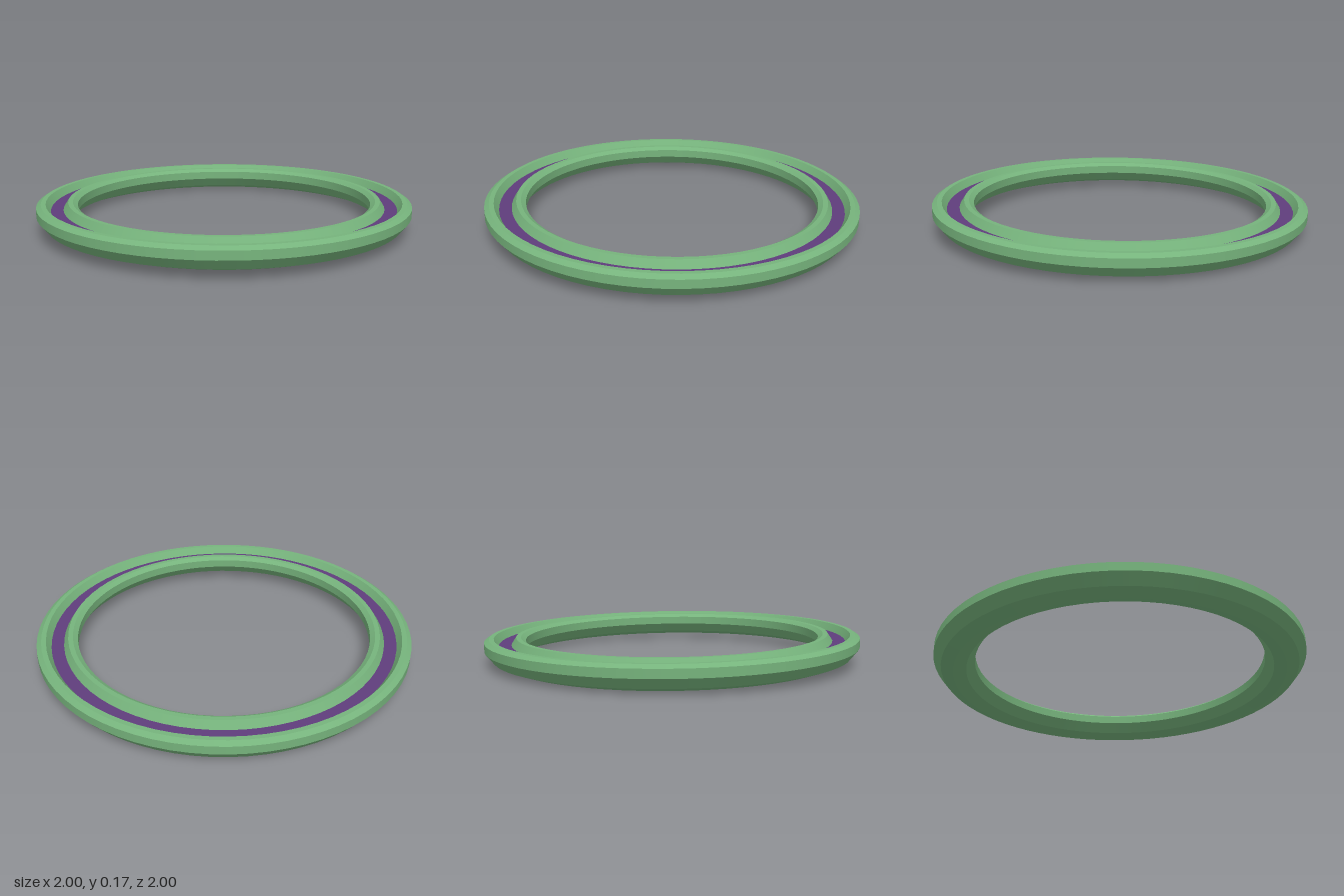
import * as THREE from 'three';
import { mergeGeometries } from 'three/addons/utils/BufferGeometryUtils.js';

const SEGMENTS = 72;

// One lathe per profile edge: smooth around the ring, crisp between bands.
function bandedLathe(profile) {
  const bands = [];
  for (let i = 0; i < profile.length - 1; i++) {
    const pair = [profile[i], profile[i + 1]].map(([r, y]) => new THREE.Vector2(r, y));
    bands.push(new THREE.LatheGeometry(pair, SEGMENTS));
  }
  return mergeGeometries(bands);
}

function addMesh(parent, name, geometry, color) {
  const mesh = new THREE.Mesh(geometry, new THREE.MeshStandardMaterial({ color }));
  mesh.name = name;
  parent.add(mesh);
}

export function createModel() {
  const model = new THREE.Group();
  const ring = new THREE.Group();
  ring.name = 'ring';
  model.add(ring);

  // Outer half of the section, from the bottom ridge up over the lip to the groove floor
  const mid = 0.8925;
  const floorY = 0.112;
  const outer = [
    [mid, 0.015], [0.958, 0.038], [1.0, 0.09], [1.0, 0.134],
    [0.975, 0.15], [0.95, 0.15], [0.925, floorY],
  ];
  // Inner half is the mirror image about the middle radius
  const inner = outer.map(([r, y]) => [2 * mid - r, y]).reverse();

  addMesh(ring, 'outerRim', bandedLathe(outer), 0x76b37c);
  addMesh(ring, 'innerRim', bandedLathe(inner), 0x76b37c);

  // Coloured strip along the bottom of the groove
  addMesh(ring, 'grooveStrip', bandedLathe([outer[outer.length - 1], inner[0]]), 0x5f3d7c);

  // The ring leans slightly, front edge raised
  ring.rotation.x = -0.0165;
  return model;
}
